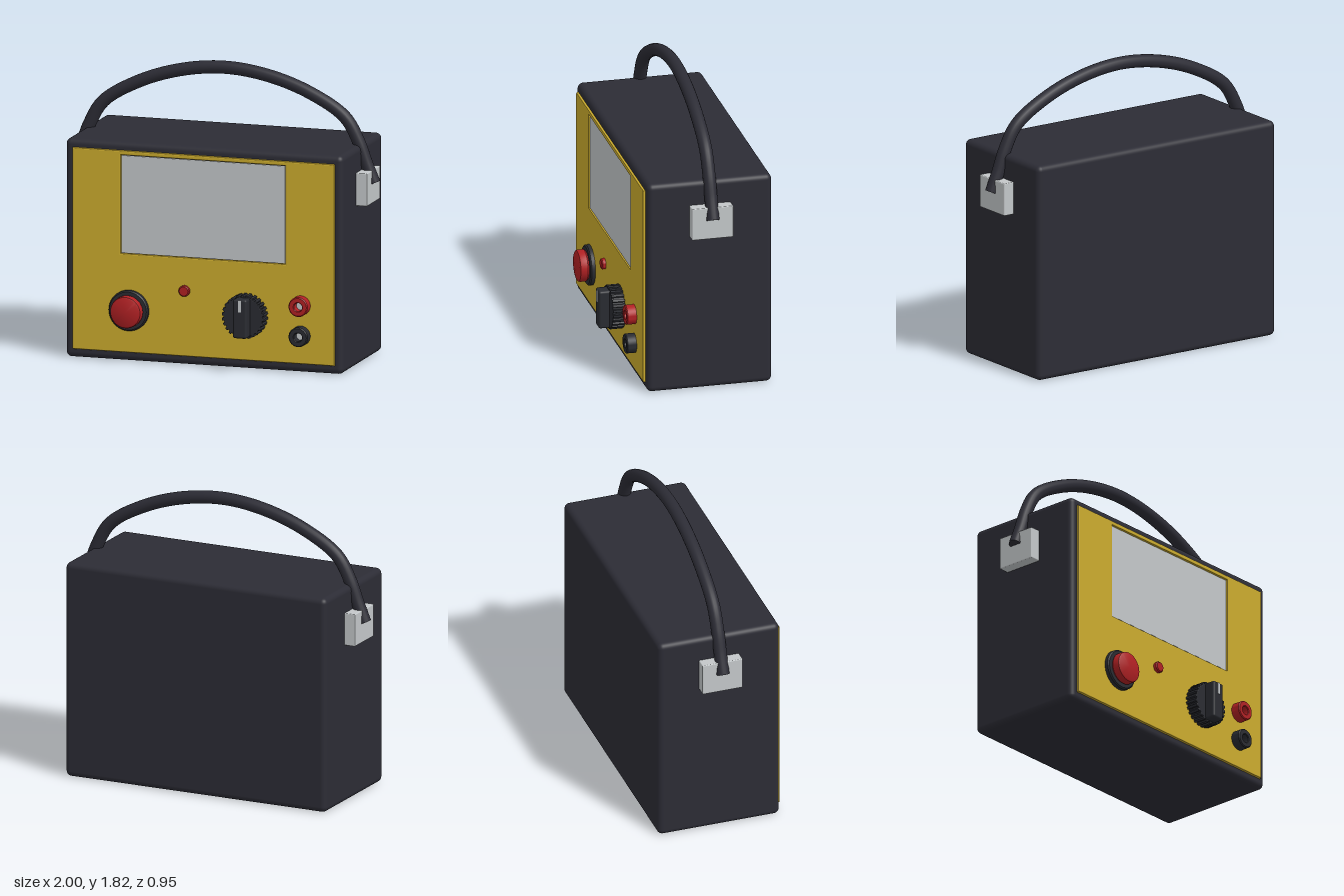
import * as THREE from 'three';
import { RoundedBoxGeometry } from 'three/addons/geometries/RoundedBoxGeometry.js';
import { toCreasedNormals } from 'three/addons/utils/BufferGeometryUtils.js';

const material = (name, color) => {
  const m = new THREE.MeshStandardMaterial({ color });
  m.name = name;
  return m;
};

function rectangle(x0, y0, x1, y1, Type = THREE.Shape) {
  const s = new Type();
  s.moveTo(x0, y0);
  s.lineTo(x1, y0);
  s.lineTo(x1, y1);
  s.lineTo(x0, y1);
  s.closePath();
  return s;
}

// Extrusion with an inset bevel, so the outline keeps its given size
function bevelled(shape, depth, bevel) {
  return new THREE.ExtrudeGeometry(shape, {
    depth: depth - 2 * bevel, bevelThickness: bevel, bevelSize: bevel,
    bevelOffset: -bevel, bevelSegments: 2, curveSegments: 24,
  }).translate(0, 0, bevel);
}

// Turned part standing out along +z; profile points are [radius, z]
function turned(profile, segments = 40) {
  const points = profile.map(([r, z]) => new THREE.Vector2(r, z));
  const g = new THREE.LatheGeometry(points, segments).rotateX(Math.PI / 2);
  return toCreasedNormals(g, 0.6);
}

export function createModel() {
  const model = new THREE.Group();
  model.name = 'portableInstrument';
  const charcoal = material('charcoal casing', 0x2c2c35);
  const black = material('black plastic', 0x292b31);
  const yellow = material('yellow panel', 0xcbab2d);
  const grey = material('light grey', 0xc3c7c9);
  const red = material('red plastic', 0xb02023);

  const add = (name, geometry, mat, x = 0, y = 0, z = 0, parent = model) => {
    const mesh = new THREE.Mesh(geometry, mat);
    mesh.name = name;
    mesh.position.set(x, y, z);
    parent.add(mesh);
    return mesh;
  };
  const group = (name, x, y, z) => {
    const g = new THREE.Group();
    g.name = name;
    g.position.set(x, y, z);
    model.add(g);
    return g;
  };

  // Casing
  add('casing', new RoundedBoxGeometry(1.78, 1.36, 0.785, 4, 0.035), charcoal, 0, 0.68, -0.083);

  // Front panel with the screen window cut out
  const face = 0.325;
  const panel = rectangle(-0.84, 0.055, 0.84, 1.31);
  panel.holes.push(rectangle(-0.53, 0.67, 0.527, 1.282, THREE.Path));
  add('frontPanel', bevelled(panel, 0.035, 0.007), yellow, 0, 0, face - 0.035);
  add('screen', new THREE.BoxGeometry(1.05, 0.605, 0.008), grey, -0.0015, 0.976, 0.312);

  // Push button
  const button = group('pushButton', -0.473, 0.32, face);
  add('buttonCollar', turned([[0.126, -0.005], [0.126, 0.022], [0.118, 0.03], [0, 0.03]]),
    black, 0, 0, 0, button);
  add('buttonCap', turned([[0.09, 0.028], [0.099, 0.04], [0.099, 0.074], [0.095, 0.084],
    [0.086, 0.089], [0, 0.089]]), red, 0, 0, 0, button);

  // Indicator lamp
  add('indicatorLamp', turned([[0.034, -0.005], [0.034, 0.019], [0.028, 0.025], [0, 0.025]], 24),
    red, -0.118, 0.464, face);

  // Fluted rotary knob with a grip bar and pointer
  const knob = group('rotaryKnob', 0.281, 0.34, face);
  const teeth = 26;
  const flutes = [];
  for (let i = 0; i < teeth; i++) {
    [[0, 0.126], [0.3, 0.126], [0.42, 0.137], [0.88, 0.137]].forEach(([t, r]) => {
      const a = (i + t) / teeth * Math.PI * 2;
      flutes.push(new THREE.Vector2(Math.cos(a) * r, Math.sin(a) * r));
    });
  }
  add('knobSkirt', bevelled(new THREE.Shape(flutes), 0.081, 0.005), black, 0, 0, 0, knob);
  add('knobGrip', new RoundedBoxGeometry(0.09, 0.243, 0.085, 3, 0.014), black, 0, 0, 0.105, knob);
  add('knobPointer', new THREE.BoxGeometry(0.02, 0.075, 0.005), grey, 0, 0.08, 0.147, knob);

  // Hollow sockets with metal contacts
  [['redSocket', red, 0.42], ['blackSocket', black, 0.232]].forEach(([name, mat, y]) => {
    const socket = group(name, 0.627, y, face);
    add('socketSleeve', turned([[0.061, -0.005], [0.061, 0.055], [0.055, 0.061],
      [0.03, 0.061], [0.026, 0.056], [0.026, 0]]), mat, 0, 0, 0, socket);
    add('socketContact', new THREE.CircleGeometry(0.027, 24), grey, 0, 0, 0.008, socket);
  });

  // Brackets on both sides
  [-1, 1].forEach((side) => {
    add(side > 0 ? 'leftBracket' : 'rightBracket', new RoundedBoxGeometry(0.08, 0.205, 0.26, 2, 0.006),
      grey, side * 0.92, 1.104, -0.085);
  });

  // Carrying handle, mirrored from one half
  const half = [[0.963, 1.125], [0.915, 1.24], [0.862, 1.38], [0.775, 1.523], [0.55, 1.66], [0.28, 1.75]];
  const path = [
    ...half.map(([x, y]) => new THREE.Vector3(-x, y, 0)),
    new THREE.Vector3(0, 1.783, 0),
    ...half.slice().reverse().map(([x, y]) => new THREE.Vector3(x, y, 0)),
  ];
  const curve = new THREE.CatmullRomCurve3(path);
  add('handle', new THREE.TubeGeometry(curve, 80, 0.04, 18), charcoal, 0, 0, -0.085);
  [0, 1].forEach((t) => {
    const p = curve.getPoint(t);
    const cap = add('handleEnd', new THREE.CircleGeometry(0.04, 18), charcoal, p.x, p.y, -0.085);
    const out = curve.getTangent(t).multiplyScalar(t ? 1 : -1);
    cap.quaternion.setFromUnitVectors(new THREE.Vector3(0, 0, 1), out);
  });

  return model;
}
